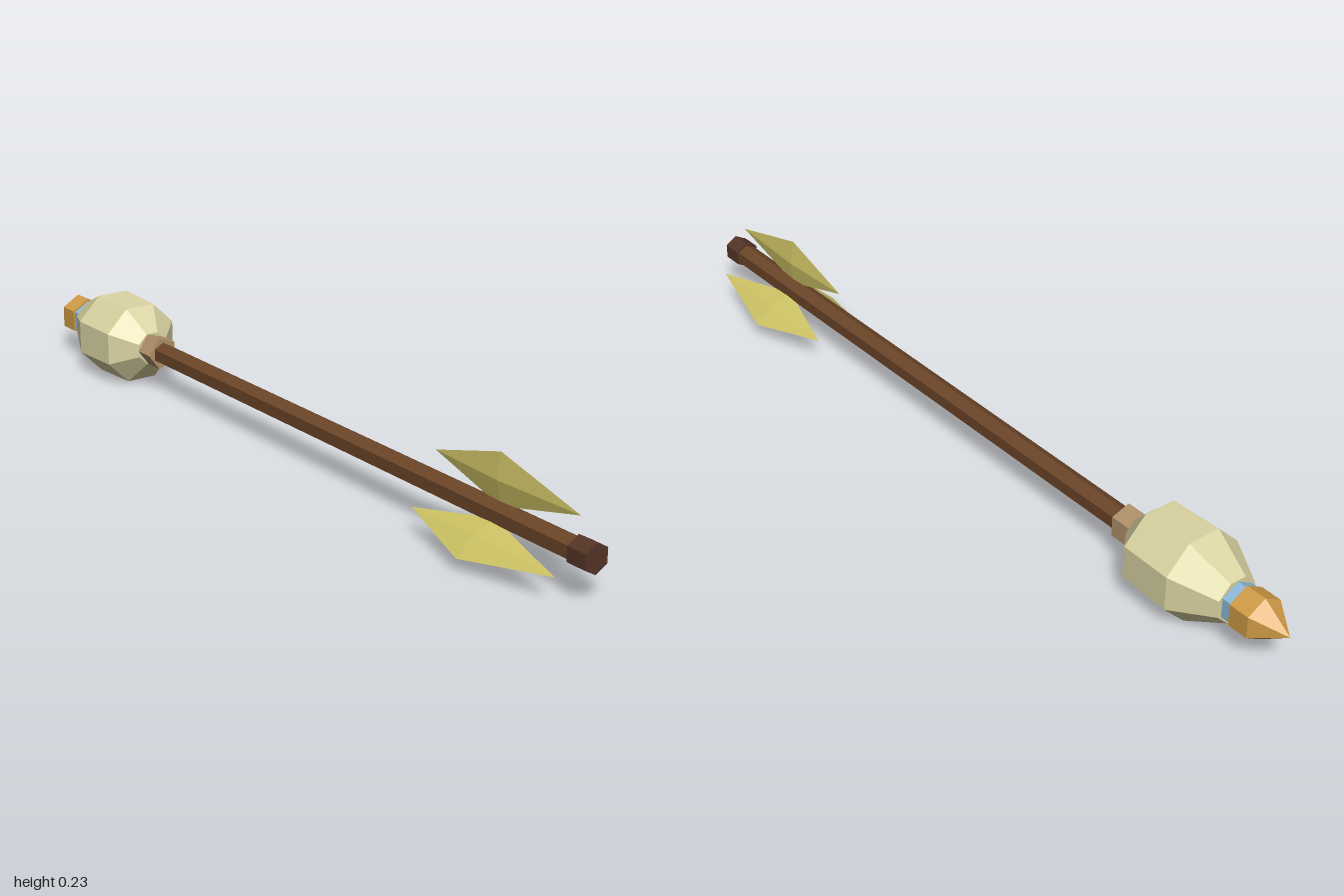
import * as THREE from 'three';

const AXIS_Y = 0.1;

const paint = (name, color) => {
  const m = new THREE.MeshStandardMaterial({ color });
  m.name = name;
  return m;
};

// Give every face its own normal, for a faceted look
function facet(geometry) {
  const g = geometry.index ? geometry.toNonIndexed() : geometry;
  g.computeVertexNormals();
  return g;
}

// Faceted solid turned around the z axis; profile is [radius, z] from +z to -z,
// first corner lies at angle "start" clockwise from straight up
function turned(name, sides, start, profile, material) {
  const points = profile.map(([r, z]) => new THREE.Vector2(r, -z));
  const g = new THREE.LatheGeometry(points, sides, start);
  g.rotateX(-Math.PI / 2);
  const mesh = new THREE.Mesh(facet(g), material);
  mesh.name = name;
  mesh.position.y = AXIS_Y;
  return mesh;
}

export function createModel() {
  const model = new THREE.Group();
  model.name = 'arrow';

  const wood = paint('brown wood', 0x6b4528);
  const darkWood = paint('dark wood', 0x553526);
  const tan = paint('tan binding', 0xb0906a);
  const cream = paint('cream shell', 0xdad3a2);
  const blue = paint('pale blue metal', 0x8cb8d6);
  const gold = paint('gold', 0xcf9a45);
  const yellow = paint('yellow feather', 0xcdc365);

  // Shaft and nock
  model.add(turned('shaft', 6, 0, [[0, 0.96], [0.028, 0.96], [0.028, -0.54], [0, -0.54]], wood));
  model.add(turned('nock', 6, 0, [[0, 1], [0.034, 1], [0.034, 0.95], [0, 0.95]], darkWood));

  // Five-sided collar behind the head
  model.add(turned('collar', 5, -Math.PI / 2,
    [[0, -0.515], [0.041, -0.515], [0.041, -0.58], [0, -0.58]], tan));

  // Bulbous octagonal head
  model.add(turned('head', 8, Math.PI / 8,
    [[0, -0.565], [0.042, -0.565], [0.103, -0.62], [0.107, -0.75], [0.054, -0.852], [0, -0.852]], cream));

  // Ring and pointed tip
  model.add(turned('ring', 6, 0, [[0, -0.84], [0.047, -0.84], [0.047, -0.885], [0, -0.885]], blue));
  model.add(turned('tip', 6, 0, [[0, -0.876], [0.052, -0.876], [0.052, -0.927], [0, -1]], gold));

  // Three diamond-shaped feathers around the shaft
  const feather = new THREE.OctahedronGeometry(1, 0);
  feather.scale(0.01, 0.059, 0.213);
  feather.translate(0, 0.074, 0);
  const featherGeometry = facet(feather);
  for (let i = 0; i < 3; i++) {
    const mesh = new THREE.Mesh(featherGeometry, yellow);
    mesh.name = 'feather' + (i + 1);
    mesh.position.set(0, AXIS_Y, 0.742);
    mesh.rotation.z = 0.025 + (i * Math.PI * 2) / 3;
    model.add(mesh);
  }

  // Widest point of each feather sits slightly toward the head
  const p = featherGeometry.attributes.position;
  for (let i = 0; i < p.count; i++) {
    if (Math.abs(p.getZ(i)) < 0.01) p.setZ(i, -0.014);
  }
  featherGeometry.computeVertexNormals();

  return model;
}
